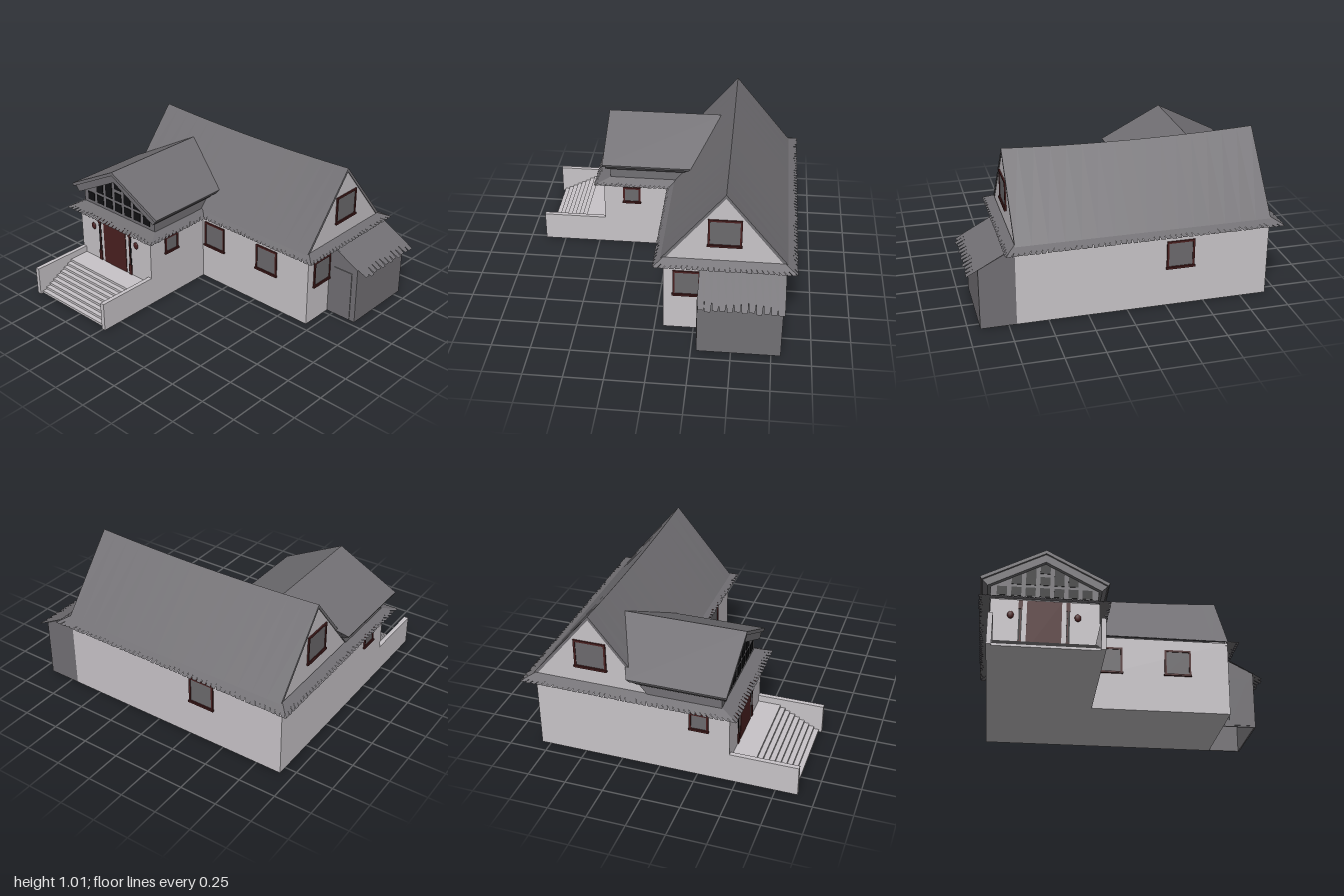
import * as THREE from 'three';

const mat = (name, color, side = THREE.FrontSide) => {
  const m = new THREE.MeshStandardMaterial({ color, side });
  m.name = name;
  return m;
};

export function createModel() {
  const house = new THREE.Group();
  house.name = 'house';
  const wall = mat('pale plaster', 0xc8c4c8);
  const roof = mat('grey roof', 0x727074, THREE.DoubleSide);
  const glass = mat('window grey', 0x6c6a6d);
  const red = mat('dark red trim', 0x4a2020);
  const black = mat('black glass', 0x101012);

  const add = (name, geo, material, parent = house) => {
    const m = new THREE.Mesh(geo, material);
    m.name = name;
    parent.add(m);
    return m;
  };
  // box given by its limits
  const box = (name, x0, x1, y0, y1, z0, z1, material, parent) => {
    const g = new THREE.BoxGeometry(x1 - x0, y1 - y0, z1 - z0);
    g.translate((x0 + x1) / 2, (y0 + y1) / 2, (z0 + z1) / 2);
    return add(name, g, material, parent);
  };
  const shape = (pts) => new THREE.Shape(pts.map(([x, y]) => new THREE.Vector2(x, y)));
  const extrude = (pts, depth, steps = 1) =>
    new THREE.ExtrudeGeometry(shape(pts), { depth, steps, bevelEnabled: false });
  // extrusion whose outline lies in the z-y plane, running from x1 down by depth
  const extrudeX = (pts, x1, depth, steps) =>
    extrude(pts, depth, steps).rotateY(-Math.PI / 2).translate(x1, 0, 0);
  // move each vertex by a rule
  const bend = (geo, rule) => {
    const p = geo.attributes.position, v = new THREE.Vector3();
    for (let i = 0; i < p.count; i++) {
      rule(v.fromBufferAttribute(p, i));
      p.setXYZ(i, v.x, v.y, v.z);
    }
    geo.computeVertexNormals();
    return geo;
  };
  let seed = 7;
  const rand = () => (seed = (seed * 16807) % 2147483647) / 2147483647;

  // walls
  box('mainWalls', -0.92, 0.70, 0, 0.52, -0.81, -0.055, wall);
  box('porchWalls', -0.92, -0.23, 0, 0.51, -0.10, 0.455, wall);

  // main roof with a sagging ridge
  const RZ = -0.433;
  const mainRoof = extrudeX([[RZ - 0.395, 0.53], [RZ - 0.37, 0.53], [RZ, 0.985],
    [RZ + 0.37, 0.53], [RZ + 0.395, 0.53], [RZ, 1.01]], 0.70, 1.62, 16);
  add('mainRoof', bend(mainRoof, (v) => {
    const t = (v.x + 0.11) / 0.81;
    v.y -= 0.022 * (1 - t * t) * (v.y - 0.53) / 0.48;
  }), roof);
  for (const x of [0.695, -0.905]) {
    add('gableWall', extrudeX([[RZ - 0.385, 0.5], [RZ + 0.385, 0.5], [RZ + 0.375, 0.535],
      [RZ, 0.99], [RZ - 0.375, 0.535]], x, 0.01), wall);
  }

  // porch roof, its fascia and upper wall, cut at the back along the main roof slope
  const PX = -0.58;
  const porchPart = (name, pts, z1) => {
    const full = [...pts, ...pts.filter(([x]) => x > 0).reverse().map(([x, y]) => [-x, y])];
    // order the outline around the centre line
    const right = pts.filter(([x]) => x > 0), top = pts[0], low = pts[pts.length - 1];
    const outline = [top, ...right.map(([x, y]) => [-x, y]), low, ...right.slice().reverse()];
    const g = extrude(full.length ? outline : [], 1).translate(PX, 0, 0);
    add(name, bend(g, (v) => {
      v.z = v.z > 0.5 ? z1 : RZ + (1.005 - v.y) * 0.823 - 0.02;
    }), roof);
  };
  porchPart('porchRoof', [[0, 0.88], [0.415, 0.665], [0.405, 0.645], [0, 0.855]], 0.455);
  porchPart('porchFascia', [[0, 0.857], [0.398, 0.648], [0.365, 0.61], [0, 0.80]], 0.44);
  porchPart('porchUpperWall', [[0, 0.83], [0.345, 0.64], [0.345, 0.50], [0, 0.50]], 0.407);

  // black panes of the porch gable
  const pane = (x0, x1, y0, top) => {
    const a = PX + x0, b = PX + x1;
    const pts = [[a, y0], [b, y0], [b, top(x1)]];
    if (x0 * x1 < 0) pts.push([PX, top(0)]);
    pts.push([a, top(x0)]);
    add('gablePane', extrude(pts, 0.006).translate(0, 0, 0.405), black);
  };
  const slope = (x) => 0.80 - 0.52 * Math.abs(x);
  for (let k = -3; k <= 3; k++) {
    const c = k * 0.091, h = 0.032;
    pane(c - h, c + h, 0.563, () => 0.625);
    if (k === 0) {
      pane(-h, h, 0.645, () => 0.705);
      pane(-h, h, 0.73, slope);
    } else if (Math.abs(k) < 3) pane(c - h, c + h, 0.645, slope);
  }

  // ragged strip of shingles from inner edge a-b to outer edge c-d
  const fringe = (name, a, b, c, d, n, cut) => {
    const pos = [];
    const [A, B, C, D] = [a, b, c, d].map((p) => new THREE.Vector3(...p));
    const at = (t, s) => A.clone().lerp(B, t).lerp(C.clone().lerp(D, t), s);
    for (let i = 0; i < n; i++) {
      const t0 = i / n, t1 = (i + 1) / n, g = (0.06 + 0.12 * rand()) / n;
      const s = 1 - cut * rand(), e = 0.96 + 0.04 * rand();
      const q = [at(t0, 0), at(t1, 0), at(t1, Math.min(s, e)), at(t1 - g, e),
        at(t0 + g, e), at(t0, 1 - cut)];
      for (let j = 1; j < 5; j++) for (const v of [q[0], q[j], q[j + 1]]) pos.push(v.x, v.y, v.z);
    }
    const geo = new THREE.BufferGeometry();
    geo.setAttribute('position', new THREE.Float32BufferAttribute(pos, 3));
    geo.computeVertexNormals();
    add(name, geo, roof);
  };
  // eaves running around the whole house
  const inner = [[0.70, -0.055], [0.70, -0.81], [-0.92, -0.81], [-0.92, 0.407], [-0.23, 0.407], [-0.23, -0.055]];
  const outer = [[0.77, 0.01], [0.77, -0.89], [-0.995, -0.89], [-0.995, 0.52], [-0.16, 0.52], [-0.16, 0.01]];
  inner.forEach((p, i) => {
    const j = (i + 1) % 6;
    const len = Math.hypot(outer[j][0] - outer[i][0], outer[j][1] - outer[i][1]);
    const P = ([x, z], y) => [x, y, z];
    fringe('eaves', P(p, 0.54), P(inner[j], 0.54), P(outer[i], 0.502), P(outer[j], 0.502),
      Math.round(len / 0.035), 0.4);
  });

  // framed window, width w and height h, turned to face its wall
  const windowAt = (x, y, z, w, h, turn) => {
    const g = new THREE.Group();
    g.name = 'window';
    const a = w / 2, b = h / 2, t = 0.013;
    const ring = shape([[-a, -b], [a, -b], [a, b], [-a, b]]);
    ring.holes.push(new THREE.Path([[-a + t, -b + t], [-a + t, b - t], [a - t, b - t], [a - t, -b + t]]
      .map((p) => new THREE.Vector2(...p))));
    add('windowFrame', new THREE.ExtrudeGeometry(ring, { depth: 0.009, bevelEnabled: false }), red, g);
    box('windowSill', -a - 0.004, a + 0.004, -b - 0.003, -b + 0.009, 0, 0.015, red, g);
    box('windowGlass', -a + t, a - t, -b + t, b - t, -0.002, 0.004, glass, g);
    g.position.set(x, y, z);
    g.rotation.y = turn;
    house.add(g);
  };
  const Q = Math.PI / 2;
  windowAt(-0.117, 0.352, -0.055, 0.18, 0.185, 0);
  windowAt(0.35, 0.352, -0.055, 0.18, 0.185, 0);
  windowAt(0.70, 0.352, -0.202, 0.175, 0.185, Q);
  windowAt(-0.34, 0.352, -0.81, 0.18, 0.185, Math.PI);
  windowAt(-0.23, 0.40, 0.26, 0.122, 0.122, Q);
  windowAt(-0.92, 0.40, 0.26, 0.122, 0.122, -Q);
  windowAt(0.696, 0.738, RZ, 0.21, 0.19, Q);
  windowAt(-0.916, 0.738, RZ, 0.21, 0.19, -Q);

  // steps, landing and side walls
  const stair = [[0.45, 0], [0.87, 0]];
  for (let i = 0; i < 9; i++) {
    const z = 0.87 - i * 0.033, y = (i + 1) * 0.155 / 9;
    stair.push([z, y], [i < 8 ? z - 0.033 : 0.45, y]);
  }
  add('steps', extrudeX(stair, -0.255, 0.64), wall);
  box('stepWallLeft', -0.26, -0.23, 0, 0.2, 0.45, 0.89, wall);
  box('stepWallRight', -0.92, -0.89, 0, 0.2, 0.45, 0.89, wall);

  // front door, side posts and lamps
  box('frontDoor', PX - 0.11, PX + 0.11, 0.155, 0.505, 0.45, 0.459, red);
  for (const s of [-1, 1]) {
    const c = PX + s * 0.15;
    box('doorPost', c - 0.013, c + 0.013, 0.155, 0.23, 0.45, 0.462, red);
    box('doorPost', c - 0.013, c + 0.013, 0.445, 0.505, 0.45, 0.462, red);
    box('sideLight', c - 0.011, c + 0.011, 0.23, 0.445, 0.45, 0.457, black);
    box('sideLightBar', c - 0.003 - s * 0.003, c + 0.003 - s * 0.003, 0.23, 0.445, 0.45, 0.459, red);
    const lamp = add('lamp', new THREE.SphereGeometry(0.022, 16, 12), red);
    lamp.scale.set(0.95, 1.15, 0.45);
    lamp.position.set(PX + s * 0.211, 0.402, 0.457);
  }

  // lean-to shed, open underneath
  const shedEnd = [[0.70, 0], [0.925, 0], [0.925, 0.40], [0.70, 0.518]];
  add('shedFront', extrude(shedEnd, 0.01).translate(0, 0, -0.295), roof);
  add('shedBack', extrude(shedEnd, 0.01).translate(0, 0, -0.81), roof);
  box('shedSide', 0.915, 0.925, 0, 0.40, -0.81, -0.285, roof);
  box('shedDoor', 0.742, 0.885, 0.01, 0.36, -0.287, -0.28, roof);
  fringe('shedRoof', [0.70, 0.528, -0.285], [0.70, 0.528, -0.82],
    [1, 0.365, -0.285], [1, 0.365, -0.82], 12, 0.22);
  return house;
}
